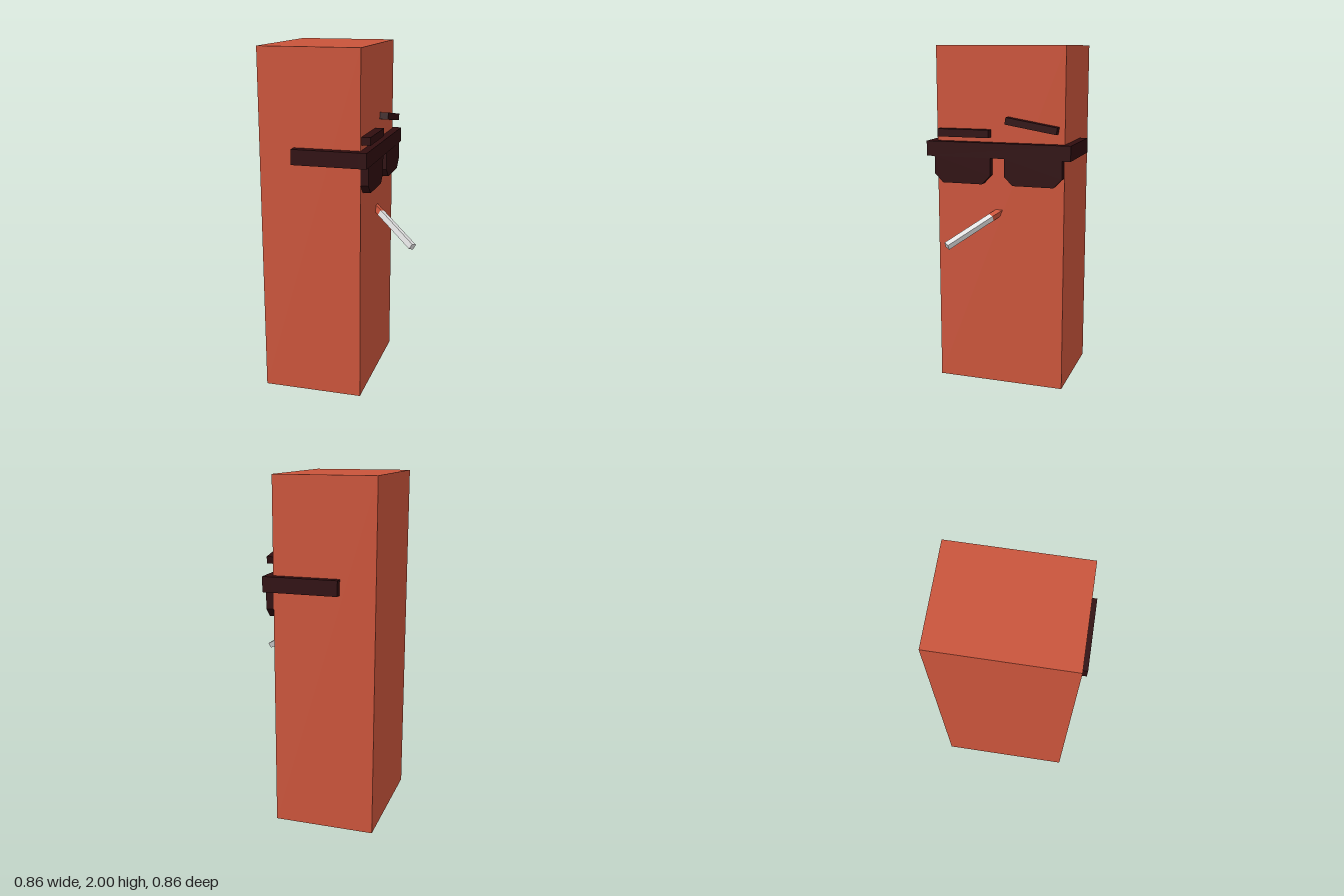
import * as THREE from 'three';

const mat = (name, color) => {
  const m = new THREE.MeshStandardMaterial({ color });
  m.name = name;
  return m;
};

export function createModel() {
  const brick = mat('brick red', 0xc8533a);
  const dark = mat('dark maroon', 0x2f0d0f);
  const paper = mat('paper white', 0xe0e0e0);
  const model = new THREE.Group();
  model.name = 'blockCharacter';

  const add = (name, geometry, material, parent = model) => {
    const mesh = new THREE.Mesh(geometry, material);
    mesh.name = name;
    parent.add(mesh);
    return mesh;
  };
  // Box given by its minimum and maximum corners
  const box = (name, a, b, material, parent) => {
    const mesh = add(name, new THREE.BoxGeometry(b[0] - a[0], b[1] - a[1], b[2] - a[2]), material, parent);
    mesh.position.set((a[0] + b[0]) / 2, (a[1] + b[1]) / 2, (a[2] + b[2]) / 2);
    return mesh;
  };

  // Tall body, with its face on the +x side
  box('body', [-0.43, 0, -0.385], [0.15, 2, 0.38], brick);

  // Sunglasses: bar, side arms and chamfered lenses
  const glasses = new THREE.Group();
  glasses.name = 'sunglasses';
  model.add(glasses);
  box('glassesBar', [0.15, 1.37, -0.43], [0.197, 1.457, 0.43], dark, glasses);
  box('leftArm', [-0.23, 1.37, -0.43], [0.15, 1.457, -0.385], dark, glasses);
  box('rightArm', [-0.23, 1.37, 0.38], [0.15, 1.457, 0.43], dark, glasses);
  const outline = [[-0.17, 1.37], [-0.17, 1.268], [-0.12, 1.217], [0.12, 1.217], [0.17, 1.268], [0.17, 1.37]];
  const lensShape = new THREE.Shape(outline.map(([x, y]) => new THREE.Vector2(x, y)));
  const lensGeometry = new THREE.ExtrudeGeometry(lensShape, { depth: 0.045, bevelEnabled: false });
  lensGeometry.rotateY(Math.PI / 2);
  for (const side of [-1, 1]) {
    add(side < 0 ? 'leftLens' : 'rightLens', lensGeometry, dark, glasses).position.set(0.15, 0, side * 0.212);
  }

  // Eyebrows: one level, one tilted
  box('levelEyebrow', [0.15, 1.485, 0.05], [0.2, 1.53, 0.36], dark);
  const raised = add('raisedEyebrow', new THREE.BoxGeometry(0.05, 0.04, 0.304), dark);
  raised.position.set(0.175, 1.56, -0.2);
  raised.rotation.x = -0.165;

  // Cigarette: local x runs outwards, the square section is rolled about it
  const end = new THREE.Vector3(0.413, 0.893, 0.224);
  const start = new THREE.Vector3(0.15, 1.045, 0.01);
  const along = end.clone().sub(start).normalize();
  const side = new THREE.Vector3(-along.z, 0, along.x).normalize();
  const up = side.clone().cross(along);
  const cigarette = new THREE.Group();
  cigarette.name = 'cigarette';
  cigarette.quaternion.setFromRotationMatrix(new THREE.Matrix4().makeBasis(along, up, side));
  cigarette.rotateX(-0.34);
  cigarette.position.copy(end);
  model.add(cigarette);
  const w = 0.017;
  const tubeLength = 0.322;
  box('paperTube', [-tubeLength, -w, -w], [0, w, w], paper, cigarette);
  box('filter', [-tubeLength - 0.1, -w, -w], [-tubeLength, w, w], brick, cigarette);

  return model;
}
